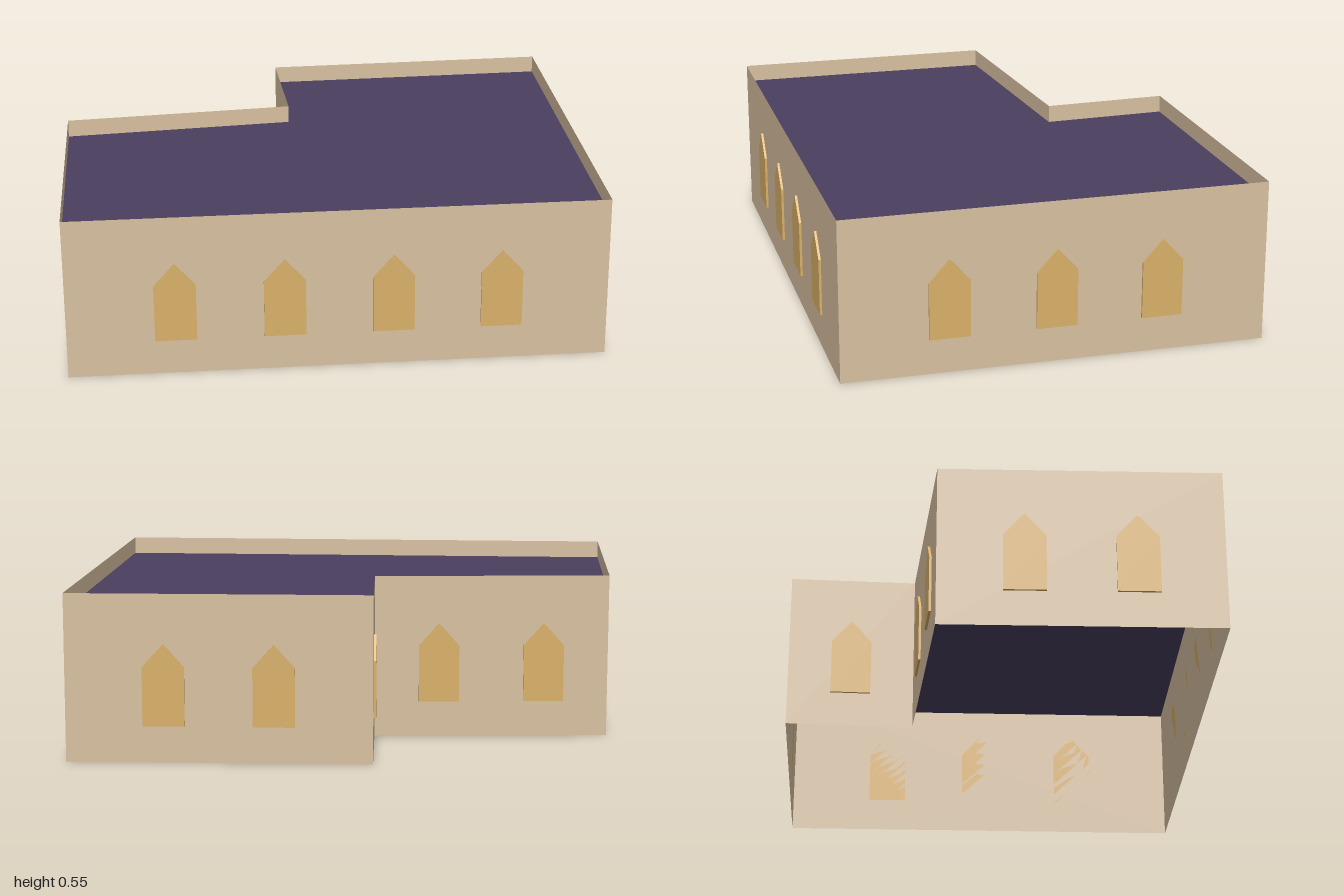
import * as THREE from 'three';

const HEIGHT = 0.55;
const ROOF_Y = 0.49;
const PITCH = 0.355; // spacing between window centres

// Footprint corners [x, z], walked with the outside on the right-hand side
const FOOTPRINT = [
  [-0.988, 0.157], [-0.649, 0.997], [0.986, 0.317],
  [0.441, -0.999], [-0.466, -0.596], [-0.286, -0.207],
];
const WINDOWS = [2, 4, 3, 2, 1, 2]; // windows on each wall

export function createModel() {
  const group = new THREE.Group();
  group.name = 'building';

  const stone = new THREE.MeshStandardMaterial({ color: 0xd8c0a0, side: THREE.DoubleSide });
  stone.name = 'sandstone';
  const amber = new THREE.MeshStandardMaterial({ color: 0xd9b068 });
  amber.name = 'amber glass';
  const slate = new THREE.MeshStandardMaterial({ color: 0x4a3f5f, side: THREE.DoubleSide });
  slate.name = 'purple slate';

  // Flat roof, sunk below the wall tops to leave a parapet
  const outline = new THREE.Shape(FOOTPRINT.map(([x, z]) => new THREE.Vector2(x, -z)));
  const roof = new THREE.Mesh(new THREE.ShapeGeometry(outline).rotateX(-Math.PI / 2), slate);
  roof.name = 'roof';
  roof.position.y = ROOF_Y;
  group.add(roof);

  // Pointed window plate, standing just proud of the wall
  const w = 0.068;
  const pane = new THREE.Shape([
    new THREE.Vector2(-w, 0.12), new THREE.Vector2(w, 0.12), new THREE.Vector2(w, 0.312),
    new THREE.Vector2(0, 0.388), new THREE.Vector2(-w, 0.312),
  ]);
  const paneGeometry = new THREE.ExtrudeGeometry(pane, { depth: 0.008, bevelEnabled: false });

  // One thin wall per footprint edge, with its row of windows centred on it
  FOOTPRINT.forEach(([x0, z0], i) => {
    const [x1, z1] = FOOTPRINT[(i + 1) % FOOTPRINT.length];
    const side = new THREE.Group();
    side.name = `side${i + 1}`;
    side.position.set((x0 + x1) / 2, 0, (z0 + z1) / 2);
    side.rotation.y = Math.atan2(z0 - z1, x1 - x0);

    const length = Math.hypot(x1 - x0, z1 - z0);
    const wall = new THREE.Mesh(new THREE.PlaneGeometry(length, HEIGHT), stone);
    wall.name = 'wall';
    wall.position.y = HEIGHT / 2;
    side.add(wall);

    for (let k = 0; k < WINDOWS[i]; k++) {
      const win = new THREE.Mesh(paneGeometry, amber);
      win.name = 'window';
      win.position.x = (k - (WINDOWS[i] - 1) / 2) * PITCH;
      side.add(win);
    }
    group.add(side);
  });

  return group;
}
